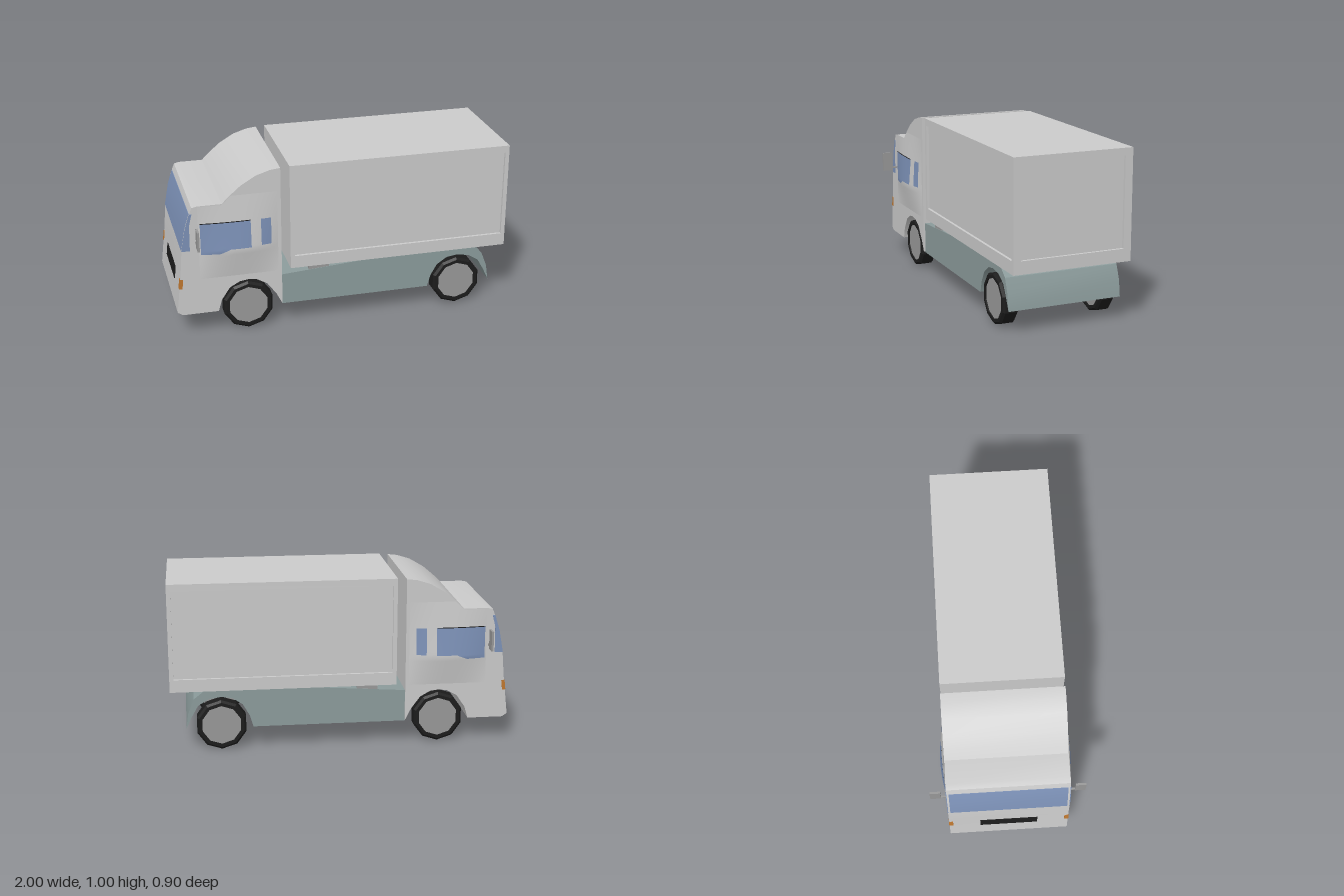
import * as THREE from 'three';
import { toCreasedNormals } from 'three/addons/utils/BufferGeometryUtils.js';

const mat = (color, side = THREE.FrontSide) => new THREE.MeshStandardMaterial({ color, side });
const grey = mat(0xcccccc);
const greySheet = mat(0xcccccc, THREE.DoubleSide);
const teal = mat(0x8c9c9c);
const glass = mat(0x7d92b8, THREE.DoubleSide);
const black = mat(0x1c1c1c);
const hubGrey = mat(0x999999);
const amber = mat(0xc07830);

const outline = (pts) => new THREE.Shape(pts.map(([x, y]) => new THREE.Vector2(x, y)));
const lerp = THREE.MathUtils.lerp;
const clamp = THREE.MathUtils.clamp;

function add(parent, name, geometry, material, x = 0, y = 0, z = 0) {
  const mesh = new THREE.Mesh(geometry, material);
  mesh.name = name;
  mesh.position.set(x, y, z);
  parent.add(mesh);
  return mesh;
}

// Side profile pulled across the full width, centred on z = 0
function acrossWidth(shape, width, crease = 0.5) {
  const g = new THREE.ExtrudeGeometry(shape, { depth: width, bevelEnabled: false });
  g.translate(0, 0, -width / 2);
  return toCreasedNormals(g, crease);
}

// Rectangular frame in the xy plane, extruded along z
function frame(w, h, bx, bottom, top, depth) {
  const s = outline([[-w / 2, -h / 2], [w / 2, -h / 2], [w / 2, h / 2], [-w / 2, h / 2]]);
  s.holes.push(outline([
    [-w / 2 + bx, -h / 2 + bottom], [-w / 2 + bx, h / 2 - top],
    [w / 2 - bx, h / 2 - top], [w / 2 - bx, -h / 2 + bottom]]));
  return new THREE.ExtrudeGeometry(s, { depth, bevelEnabled: false });
}

// Outward swell of the cab doors
function doorBulge(x, y) {
  const u = clamp((x + 0.63) / 0.23, -1, 1);
  const v = y < 0.53 ? (y - 0.36) / 0.17 : (0.86 - y) / 0.33;
  return 0.03 * (1 - u * u) * clamp(v, 0, 1);
}

// Grid following the cab side between two height curves
function sidePatch(x0, x1, low, high, lift, side) {
  const g = new THREE.PlaneGeometry(1, 1, 24, 24);
  const p = g.attributes.position;
  for (let i = 0; i < p.count; i++) {
    const x = lerp(x0, x1, 0.5 + side * p.getX(i));
    const y = lerp(low(x), high(x), p.getY(i) + 0.5);
    p.setXYZ(i, x, y, side * (0.354 + lift + doorBulge(x, y)));
  }
  g.computeVertexNormals();
  return g;
}

function wheel(x, side) {
  const g = new THREE.Group();
  g.name = 'wheel';
  const profile = [[0.118, -0.03], [0.118, -0.047], [0.138, -0.047], [0.151, -0.034],
    [0.151, 0.034], [0.138, 0.047], [0.118, 0.047], [0.118, 0.03]];
  const tyre = new THREE.LatheGeometry(profile.map(([r, y]) => new THREE.Vector2(r, y)), 10);
  tyre.rotateX(Math.PI / 2);
  add(g, 'tyre', toCreasedNormals(tyre, 0.2), black);
  const hub = new THREE.CylinderGeometry(0.119, 0.119, 0.078, 10);
  hub.rotateX(Math.PI / 2);
  add(g, 'hub', hub, hubGrey);
  g.position.set(x, 0.151, side * 0.298);
  return g;
}

export function createModel() {
  const truck = new THREE.Group();
  truck.name = 'boxTruck';

  // Cab with wheel arch and roof fairing
  const cab = new THREE.Group();
  cab.name = 'cab';
  truck.add(cab);
  const cabShape = outline([
    [-1, 0.16], [-0.97, 0.14], [-0.76, 0.14], [-0.74, 0.21], [-0.69, 0.285], [-0.63, 0.318],
    [-0.58, 0.325], [-0.53, 0.318], [-0.47, 0.285], [-0.415, 0.21], [-0.38, 0.14], [-0.38, 1],
    [-0.44, 0.993], [-0.52, 0.968], [-0.61, 0.915], [-0.68, 0.855], [-0.72, 0.815],
    [-0.86, 0.815], [-0.892, 0.808], [-0.905, 0.775], [-0.935, 0.68], [-0.96, 0.545], [-0.972, 0.4]]);
  add(cab, 'cabShell', acrossWidth(cabShape, 0.708), grey);

  // Windscreen following the cab front, wrapping around the corners
  const screen = outline([[-0.962, 0.547], [-0.94, 0.547], [-0.89, 0.77], [-0.909, 0.77], [-0.938, 0.68]]);
  add(cab, 'windscreen', acrossWidth(screen, 0.68), glass);
  const corner = outline([[-0.961, 0.545], [-0.912, 0.545], [-0.91, 0.7], [-0.893, 0.77], [-0.908, 0.77], [-0.936, 0.68]]);

  for (const side of [1, -1]) {
    const label = side > 0 ? 'left' : 'right';
    // Swollen door skin with two panes
    const top = (x) => lerp(0.81, 0.86, clamp((x + 0.72) / 0.05, 0, 1));
    add(cab, label + 'Door', sidePatch(-0.86, -0.4, () => 0.36, top, 0.0006, side), greySheet);
    const sill = (x) => lerp(0.515, 0.54, clamp((x + 0.74) / 0.06, 0, 1));
    add(cab, label + 'DoorWindow', sidePatch(-0.85, -0.56, sill, () => 0.705, 0.002, side), glass);
    add(cab, label + 'RearWindow', sidePatch(-0.5, -0.44, () => 0.545, () => 0.705, 0.002, side), glass);
    add(cab, label + 'WindowTrim', sidePatch(-0.85, -0.56, () => 0.703, () => 0.708, 0.003, side), black);
    add(cab, label + 'CornerWindow', acrossWidth(corner, 0.004), glass, 0, 0, side * 0.354);

    // Mirror on a short arm
    add(cab, label + 'Mirror', new THREE.BoxGeometry(0.012, 0.118, 0.062), hubGrey, -0.874, 0.636, side * 0.42);
    add(cab, label + 'MirrorArm', new THREE.BoxGeometry(0.01, 0.01, 0.06), hubGrey, -0.874, 0.595, side * 0.37);

    // Corner indicator
    const lamp = add(cab, label + 'Indicator', new THREE.BoxGeometry(0.02, 0.06, 0.025), amber, -0.972, 0.34, side * 0.344);
    lamp.rotation.z = -0.117;
  }

  // Grille set in the sloping nose
  const grille = add(cab, 'grille', new THREE.BoxGeometry(0.016, 0.075, 0.34), black, -0.976, 0.33, 0);
  grille.rotation.z = -0.117;

  // Chassis with rear wheel arch and mudguard
  const chassisShape = outline([
    [-0.38, 0.135], [0.52, 0.135], [0.54, 0.205], [0.58, 0.275], [0.64, 0.315], [0.705, 0.325],
    [0.78, 0.312], [0.84, 0.275], [0.88, 0.205], [0.912, 0.135], [0.898, 0.23], [0.865, 0.315],
    [0.8, 0.366], [0.2, 0.366], [-0.38, 0.325]]);
  add(truck, 'chassis', acrossWidth(chassisShape, 0.686), teal);
  add(truck, 'bodyMount', new THREE.BoxGeometry(0.12, 0.04, 0.68), hubGrey, -0.155, 0.347, 0);

  // Cargo box: core plus raised frames on the sides and back
  const d = 0.016;
  const cargo = new THREE.Group();
  cargo.name = 'cargoBox';
  truck.add(cargo);
  add(cargo, 'cargoCore', new THREE.BoxGeometry(1.327 - d, 0.64, 0.71 - 2 * d), grey, 0.3365 - d / 2, 0.685, 0);
  for (const side of [1, -1]) {
    add(cargo, 'sideFrame', frame(1.327, 0.64, 0.024, 0.075, 0.043, d), grey,
      0.3365, 0.685, side > 0 ? 0.355 - d : -0.355);
  }
  const back = add(cargo, 'backFrame', frame(0.71, 0.64, 0.046, 0.075, 0.043, d), grey, 1 - d, 0.685, 0);
  back.rotation.y = Math.PI / 2;

  // Wheels
  for (const x of [-0.58, 0.705]) for (const side of [1, -1]) truck.add(wheel(x, side));
  return truck;
}
